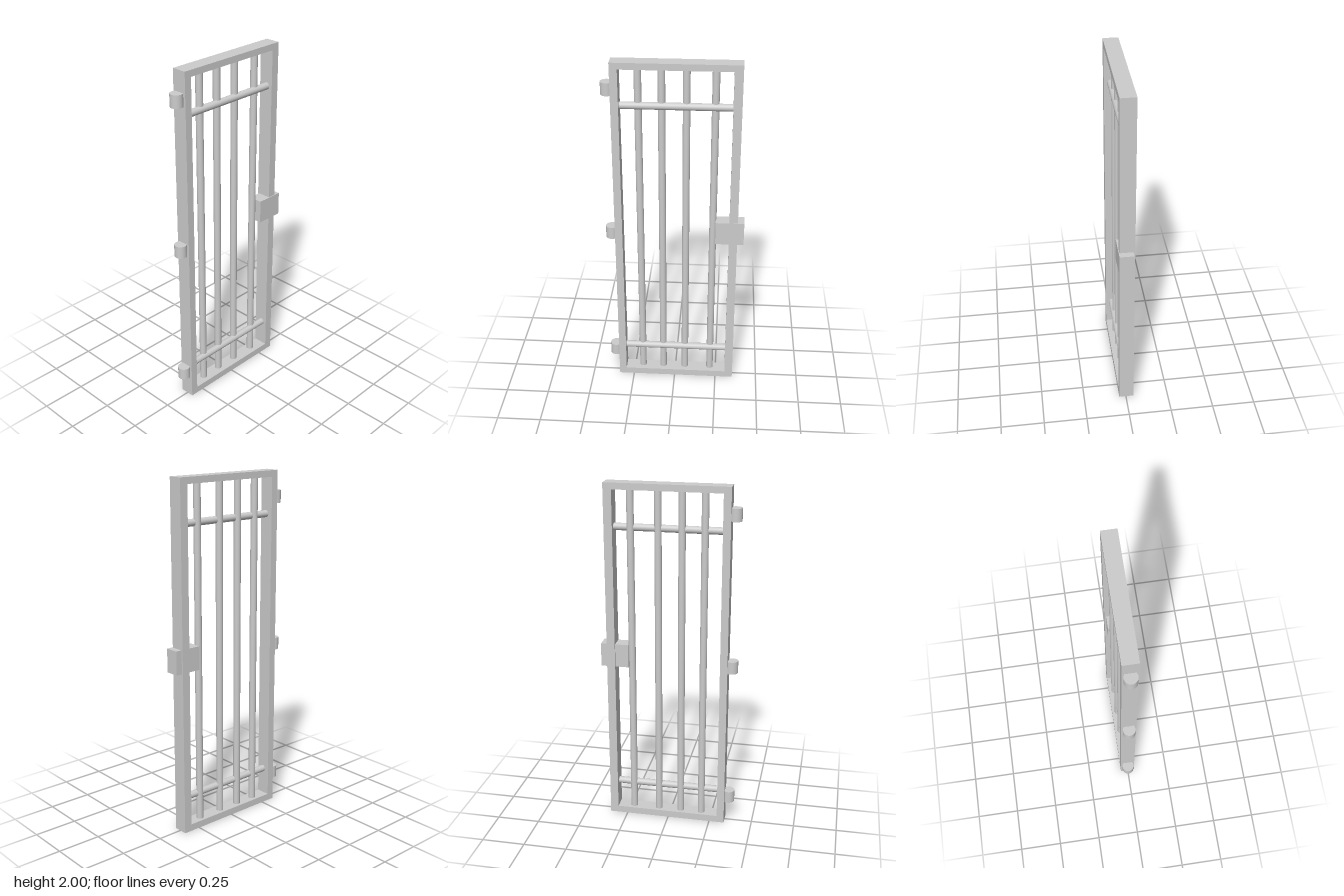
import * as THREE from 'three';

const material = new THREE.MeshStandardMaterial({ color: 0xcccccc });

export function createModel() {
  const model = new THREE.Group();
  const add = (name, geometry, x, y, z) => {
    const mesh = new THREE.Mesh(geometry, material);
    mesh.name = name;
    mesh.position.set(x, y, z);
    model.add(mesh);
    return mesh;
  };

  // Rectangular frame with one large opening
  const left = -0.338, right = 0.354, height = 2;
  const innerLeft = -0.296, innerRight = 0.307, innerBottom = 0.04, innerTop = 1.964;
  const outline = new THREE.Shape([
    new THREE.Vector2(left, 0), new THREE.Vector2(right, 0),
    new THREE.Vector2(right, height), new THREE.Vector2(left, height),
  ]);
  outline.holes.push(new THREE.Path([
    new THREE.Vector2(innerLeft, innerBottom), new THREE.Vector2(innerLeft, innerTop),
    new THREE.Vector2(innerRight, innerTop), new THREE.Vector2(innerRight, innerBottom),
  ]));
  add('frame', new THREE.ExtrudeGeometry(outline, { depth: 0.085, bevelEnabled: false }), 0, 0, -0.045);

  // Upright bars, set slightly behind the rails
  const barLength = innerTop - innerBottom;
  for (const x of [-0.196, -0.071, 0.061, 0.214]) {
    add('uprightBar', new THREE.CylinderGeometry(0.02, 0.02, barLength, 24),
      x, (innerTop + innerBottom) / 2, -0.008);
  }

  // Cross rails
  const railLength = innerRight - innerLeft;
  for (const y of [0.198, 1.756]) {
    add('crossRail', new THREE.CylinderGeometry(0.02, 0.02, railLength, 24),
      (innerLeft + innerRight) / 2, y, 0.002).rotation.z = Math.PI / 2;
  }

  // Hinge barrels
  for (const y of [0.169, 0.99, 1.85]) {
    add('hinge', new THREE.CylinderGeometry(0.035, 0.035, 0.071, 32), -0.358, y, -0.003);
  }

  // Lock box around the free edge of the frame
  add('lockBox', new THREE.BoxGeometry(0.16, 0.135, 0.08), 0.31, 1.018, 0.004);

  return model;
}
